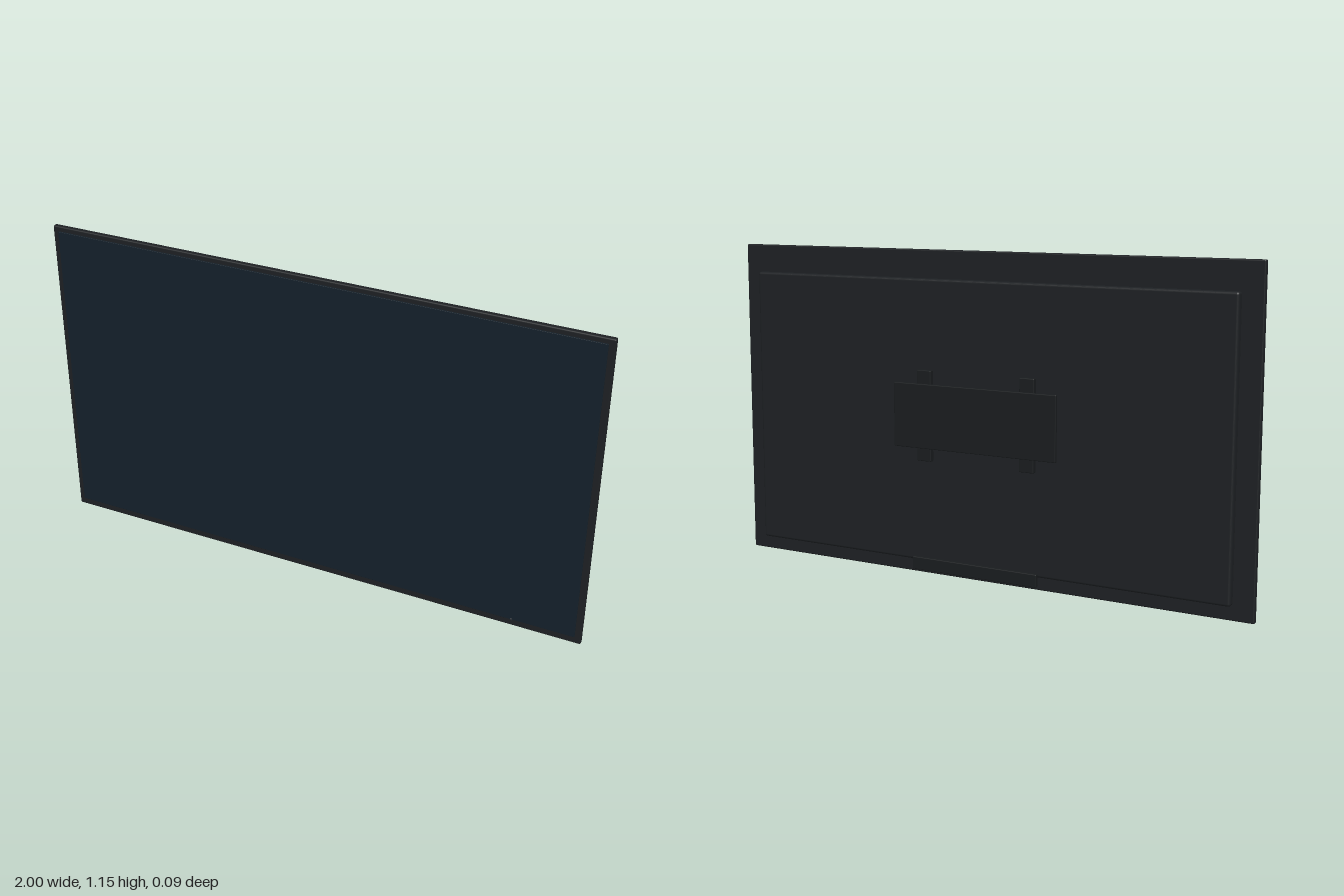
import * as THREE from 'three';
import { RoundedBoxGeometry } from 'three/addons/geometries/RoundedBoxGeometry.js';

const paint = (color) => new THREE.MeshStandardMaterial({ color });

export function createModel() {
  const model = new THREE.Group();
  const casing = paint(0x1d2023);
  const dark = paint(0x191c1e);
  const glass = paint(0x14202a);
  const sensor = paint(0x2a3036);

  // Rounded slab given by its [min, max] extents on each axis
  const slab = (name, [x0, x1], [y0, y1], [z0, z1], radius, material) => {
    const geometry = new RoundedBoxGeometry(x1 - x0, y1 - y0, z1 - z0, 3, radius);
    const mesh = new THREE.Mesh(geometry, material);
    mesh.name = name;
    mesh.position.set((x0 + x1) / 2, (y0 + y1) / 2, (z0 + z1) / 2);
    model.add(mesh);
  };

  // Display: thin frame with the panel standing slightly proud of it
  slab('frame', [-1, 1], [0, 1.155], [0.016, 0.036], 0.005, casing);
  slab('screen', [-0.978, 0.978], [0.028, 1.137], [0.032, 0.041], 0.001, glass);
  slab('sensor', [0.751, 0.759], [0.026, 0.034], [0.036, 0.043], 0.001, sensor);

  // Raised rear housing
  slab('rearHousing', [-0.928, 0.928], [0.053, 1.056], [-0.014, 0.018], 0.009, casing);

  // Wall mount: two upright rails and a wide plate
  for (const side of [-1, 1]) {
    const x = side * 0.202;
    slab(side > 0 ? 'leftMountRail' : 'rightMountRail',
      [x - 0.028, x + 0.028], [0.418, 0.74], [-0.031, -0.012], 0.003, dark);
  }
  slab('wallPlate', [-0.318, 0.318], [0.465, 0.693], [-0.043, -0.031], 0.003, dark);

  // Lower rear bar
  slab('lowerBar', [-0.247, 0.247], [0.025, 0.071], [-0.041, -0.026], 0.003, dark);

  return model;
}
